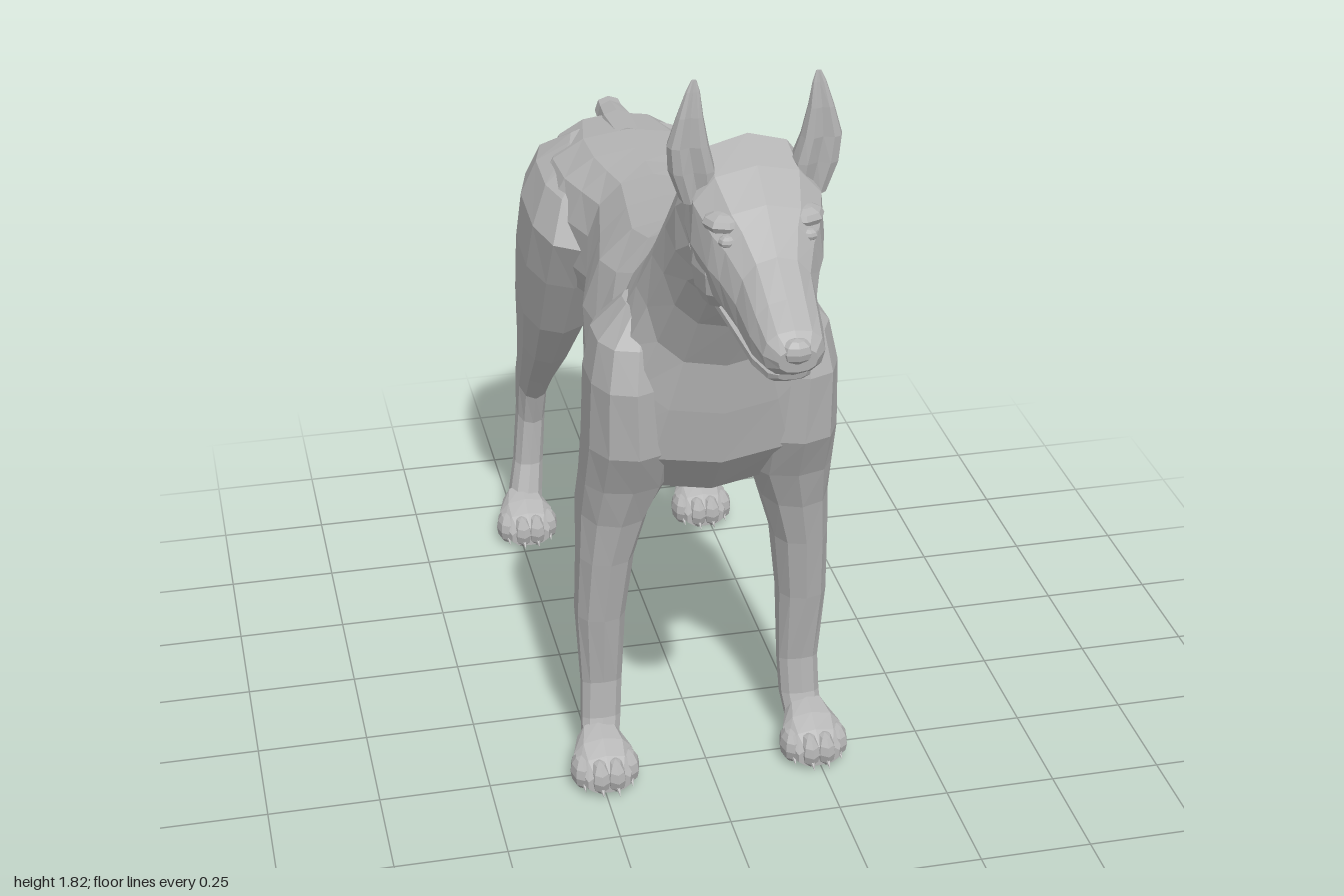
import * as THREE from 'three';

const coat = new THREE.MeshStandardMaterial({ color: 0xb4b4b4, flatShading: true });
coat.name = 'grey coat';

// Skin over rings. Each section: [z1, y1, z2, y2, half width, centre x, taper towards point 1]
// where (z1, y1) and (z2, y2) are opposite ends of the ring on the side profile.
function loft(name, sections, { sides = 12, square = 0.85, mirror = 1, hollow = 0 } = {}) {
  const pos = [], index = [];
  const bend = (v) => Math.sign(v) * Math.abs(v) ** square;
  for (const [z1, y1, z2, y2, w, cx = 0, taper = 0] of sections) {
    for (let i = 0; i < sides; i++) {
      const a = (i / sides) * Math.PI * 2;
      const c = bend(Math.cos(a)), s = bend(Math.sin(a));
      const t = c > 0 ? c * (1 - hollow * (1 - Math.abs(s))) : c;
      pos.push(mirror * (cx + w * s * (1 - taper * c)),
        (y1 + y2) / 2 + ((y1 - y2) / 2) * t,
        (z1 + z2) / 2 + ((z1 - z2) / 2) * t);
    }
  }
  const n = sections.length;
  for (let j = 0; j < n - 1; j++) {
    for (let i = 0; i < sides; i++) {
      const a = j * sides + i, b = j * sides + ((i + 1) % sides);
      index.push(a, b, a + sides, b, b + sides, a + sides);
    }
  }
  // End caps fan from a centre point
  for (const j of [0, n - 1]) {
    const [z1, y1, z2, y2, , cx = 0] = sections[j];
    const h = 1 - hollow;
    const centre = pos.length / 3;
    pos.push(mirror * cx, (y1 * h + y2) / (1 + h), (z1 * h + z2) / (1 + h));
    for (let i = 0; i < sides; i++) {
      const a = j * sides + i, b = j * sides + ((i + 1) % sides);
      if (j === 0) index.push(centre, b, a);
      else index.push(centre, a, b);
    }
  }
  // Turn every face outward by checking the enclosed volume
  const p = (i) => new THREE.Vector3().fromArray(pos, i * 3);
  const origin = p(0);
  let volume = 0;
  for (let i = 0; i < index.length; i += 3) {
    const [a, b, c] = [0, 1, 2].map((k) => p(index[i + k]).sub(origin));
    volume += a.dot(b.cross(c));
  }
  if (volume < 0) index.reverse();
  const g = new THREE.BufferGeometry();
  g.setAttribute('position', new THREE.Float32BufferAttribute(pos, 3));
  g.setIndex(index);
  g.computeVertexNormals();
  const mesh = new THREE.Mesh(g, coat);
  mesh.name = name;
  return mesh;
}

function ball(name, x, y, z, rx, ry, rz) {
  const mesh = new THREE.Mesh(new THREE.SphereGeometry(1, 8, 6), coat);
  mesh.name = name;
  mesh.position.set(x, y, z);
  mesh.scale.set(rx, ry, rz);
  return mesh;
}

// Paw with four toes and claws; x, z is the centre of the heel
function makePaw(name, x, z) {
  const paw = new THREE.Group();
  paw.name = name;
  paw.add(loft('pad', [
    [z - 0.03, 0.1, z - 0.012, 0.02, 0.03, x],
    [z + 0.01, 0.122, z + 0.01, 0.004, 0.052, x],
    [z + 0.06, 0.106, z + 0.06, 0.004, 0.07, x],
    [z + 0.1, 0.085, z + 0.105, 0.006, 0.066, x],
    [z + 0.135, 0.06, z + 0.135, 0.01, 0.05, x],
  ], { sides: 10 }));
  for (let i = 0; i < 4; i++) {
    const dx = (i - 1.5) * 0.036;
    const zt = z + (i === 0 || i === 3 ? 0.08 : 0.11);
    paw.add(ball('toe', x + dx, 0.042, zt, 0.025, 0.04, 0.045));
    const claw = new THREE.Mesh(new THREE.ConeGeometry(0.008, 0.03, 5), coat);
    claw.name = 'claw';
    claw.position.set(x + dx, 0.024, zt + 0.042);
    claw.rotation.x = 2.0;
    paw.add(claw);
  }
  return paw;
}

const BODY = [
  [-0.80, 1.165, -0.79, 1.03, 0.09],
  [-0.75, 1.2, -0.765, 0.93, 0.18, 0, 0.1],
  [-0.6, 1.217, -0.6, 0.86, 0.235, 0, 0.08],
  [-0.48, 1.22, -0.48, 0.84, 0.222, 0, 0.05],
  [-0.39, 1.222, -0.41, 0.835, 0.185],
  [-0.3, 1.227, -0.33, 0.825, 0.155],
  [-0.15, 1.24, -0.15, 0.755, 0.19],
  [0, 1.257, 0, 0.715, 0.228],
  [0.1, 1.28, 0.13, 0.698, 0.23, 0, 0.15],
  [0.14, 1.3, 0.29, 0.735, 0.23, 0, 0.35],
  [0.19, 1.34, 0.385, 0.85, 0.22, 0, 0.4],
  [0.24, 1.39, 0.41, 0.98, 0.185, 0, 0.33],
  [0.31, 1.465, 0.425, 1.1, 0.153, 0, 0.22],
  [0.38, 1.54, 0.49, 1.22, 0.136, 0, 0.14],
  [0.46, 1.61, 0.56, 1.31, 0.13, 0, 0.08],
  [0.54, 1.66, 0.62, 1.345, 0.12],
];

const HEAD = [
  [0.5, 1.63, 0.59, 1.36, 0.1],
  [0.58, 1.68, 0.63, 1.345, 0.13, 0, -0.08],
  [0.66, 1.645, 0.68, 1.352, 0.132, 0, -0.15],
  [0.735, 1.595, 0.735, 1.352, 0.114, 0, -0.08],
  [0.765, 1.57, 0.77, 1.35, 0.098],
  [0.82, 1.525, 0.82, 1.343, 0.079, 0, 0.1],
  [0.9, 1.475, 0.9, 1.338, 0.071, 0, 0.1],
  [0.96, 1.44, 0.955, 1.345, 0.06],
  [0.99, 1.415, 0.985, 1.365, 0.038],
];

const JAW = [
  [0.66, 1.38, 0.66, 1.343, 0.085],
  [0.76, 1.36, 0.76, 1.33, 0.07],
  [0.86, 1.35, 0.86, 1.313, 0.058],
  [0.93, 1.35, 0.92, 1.315, 0.043],
  [0.95, 1.35, 0.945, 1.33, 0.028],
];

const FRONT_LEG = [
  [0.33, 1.2, 0.2, 1.19, 0.04, 0.145],
  [0.385, 1.13, 0.15, 1.12, 0.077, 0.175],
  [0.41, 1.04, 0.135, 1.03, 0.085, 0.185],
  [0.398, 0.88, 0.13, 0.87, 0.096, 0.179],
  [0.34, 0.77, 0.12, 0.76, 0.096, 0.182],
  [0.305, 0.67, 0.085, 0.68, 0.078, 0.202],
  [0.28, 0.56, 0.12, 0.56, 0.063, 0.22],
  [0.25, 0.4, 0.128, 0.4, 0.056, 0.231],
  [0.218, 0.22, 0.145, 0.2, 0.047, 0.229],
  [0.225, 0.13, 0.155, 0.11, 0.046, 0.233],
  [0.25, 0.06, 0.195, 0.04, 0.042, 0.24],
];

const HIND_LEG = [
  [-0.5, 1.17, -0.69, 1.19, 0.035, 0.1],
  [-0.41, 1.12, -0.765, 1.14, 0.075, 0.14],
  [-0.345, 1.03, -0.797, 1.06, 0.092, 0.162],
  [-0.42, 0.9, -0.825, 0.93, 0.096, 0.166],
  [-0.53, 0.73, -0.86, 0.77, 0.083, 0.175],
  [-0.65, 0.59, -0.89, 0.64, 0.062, 0.185],
  [-0.78, 0.47, -0.93, 0.53, 0.046, 0.191],
  [-0.86, 0.385, -0.998, 0.45, 0.038, 0.193],
  [-0.888, 0.3, -0.985, 0.34, 0.036, 0.197],
  [-0.885, 0.18, -0.967, 0.18, 0.038, 0.208],
  [-0.86, 0.11, -0.95, 0.09, 0.043, 0.22],
  [-0.84, 0.06, -0.91, 0.04, 0.042, 0.228],
];

const EAR = [
  [0.675, 1.57, 0.57, 1.58, 0.035, 0.11],
  [0.682, 1.635, 0.575, 1.64, 0.046, 0.122],
  [0.677, 1.69, 0.598, 1.69, 0.041, 0.131],
  [0.668, 1.75, 0.618, 1.75, 0.026, 0.128],
  [0.655, 1.8, 0.635, 1.8, 0.014, 0.123],
  [0.648, 1.823, 0.643, 1.823, 0.005, 0.121],
];

const TAIL = [
  [-0.6, 1.22, -0.6, 1.16, 0.035],
  [-0.73, 1.215, -0.72, 1.14, 0.042],
  [-0.81, 1.208, -0.79, 1.13, 0.034],
  [-0.835, 1.21, -0.84, 1.14, 0.033],
  [-0.85, 1.19, -0.85, 1.155, 0.02],
];

export function createModel() {
  const dog = new THREE.Group();
  dog.name = 'dog';
  dog.add(loft('bodyAndNeck', BODY, { sides: 14, square: 0.86 }));
  dog.add(loft('head', HEAD), loft('lowerJaw', JAW, { sides: 10 }));
  dog.add(loft('tail', TAIL, { sides: 8 }));
  dog.add(ball('nose', 0, 1.405, 0.975, 0.033, 0.026, 0.025));

  for (const side of [1, -1]) {
    const s = side > 0 ? 'left' : 'right';
    const opt = { mirror: side, sides: 10 };
    dog.add(loft(s + 'FrontLeg', FRONT_LEG, opt), loft(s + 'HindLeg', HIND_LEG, opt));
    dog.add(makePaw(s + 'FrontPaw', side * 0.243, 0.21));
    dog.add(makePaw(s + 'HindPaw', side * 0.232, -0.9));
    dog.add(loft(s + 'Ear', EAR, { mirror: side, sides: 12, square: 1, hollow: 0.6 }));
    // Eye under a low brow ridge, cheek muscle behind the jaw
    dog.add(ball(s + 'Eye', side * 0.08, 1.535, 0.752, 0.018, 0.013, 0.018));
    dog.add(ball(s + 'Brow', side * 0.075, 1.56, 0.712, 0.045, 0.022, 0.045));
    dog.add(ball(s + 'Cheek', side * 0.082, 1.45, 0.655, 0.045, 0.09, 0.085));
    // Pad at the back of the wrist
    dog.add(ball(s + 'WristPad', side * 0.23, 0.2, 0.153, 0.018, 0.022, 0.015));
  }
  return dog;
}
